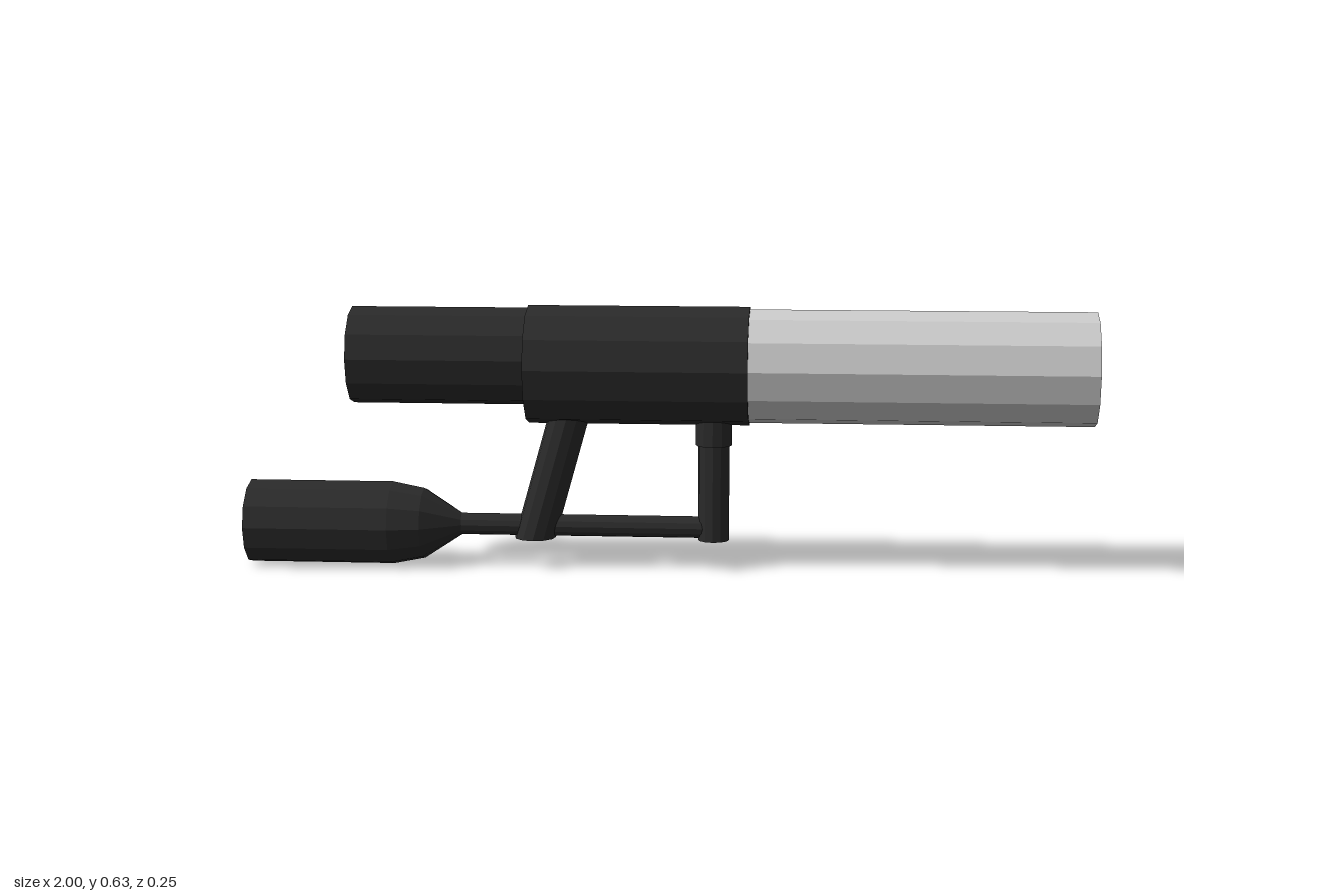
import * as THREE from 'three';

const SIDES = 12;
const dark = new THREE.MeshStandardMaterial({ color: 0x2a2a2a, flatShading: true });
const grey = new THREE.MeshStandardMaterial({ color: 0xcccccc, flatShading: true });

export function createModel() {
  const model = new THREE.Group();

  const add = (name, geometry, material = dark) => {
    const mesh = new THREE.Mesh(geometry, material);
    mesh.name = name;
    model.add(mesh);
    return mesh;
  };

  // Turned part along x: profile of [radius, x], with height and depth scaled to an oval
  const turned = (name, profile, y, scaleY = 1, scaleZ = 1, material = dark) => {
    const points = profile.map(([r, x]) => new THREE.Vector2(r, x));
    const geometry = new THREE.LatheGeometry(points, SIDES);
    geometry.rotateZ(-Math.PI / 2).scale(1, scaleY, scaleZ).translate(0, y, 0);
    return add(name, geometry, material);
  };

  // Upright cylinder whose ends stay level while its axis leans from x0 to x1
  const post = (name, radius, x0, y0, x1, y1, depth = radius) => {
    const geometry = new THREE.CylinderGeometry(radius, radius, y1 - y0, SIDES);
    geometry.scale(1, 1, depth / radius).translate(0, (y1 - y0) / 2, 0);
    const lean = (x1 - x0) / (y1 - y0);
    const shear = new THREE.Matrix4().set(1, lean, 0, x0, 0, 1, 0, y0, 0, 0, 1, 0, 0, 0, 0, 1);
    geometry.applyMatrix4(shear);
    geometry.computeVertexNormals();
    return add(name, geometry);
  };

  // Oval tube: open barrel with a recessed floor, sleeve around it and narrower rear section
  turned('barrel', [[0, 0.15], [1, 0.15], [1, 1], [0.85, 1], [0.85, 0.2], [0, 0.2]],
    0.486, 0.134, 0.12, grey);
  turned('sleeve', [[0, -0.325], [1, -0.325], [1, 0.197], [0, 0.197]], 0.486, 0.14, 0.126);
  turned('rearTube', [[0, -0.745], [1, -0.745], [1, -0.3], [0, -0.3]], 0.505, 0.115, 0.102);

  // Shoulder stock tapering into the connecting rod
  turned('stock', [[0, -1], [0.1, -1], [0.1, -0.655], [0.085, -0.58], [0.026, -0.49], [0, -0.49]], 0.1);
  turned('connectingRod', [[0, -0.5], [0.026, -0.5], [0.026, 0.11], [0, 0.11]], 0.1);

  // Leaning rear grip, straight front grip and its collar
  post('rearGrip', 0.049, -0.313, 0.07, -0.226, 0.38, 0.052);
  post('frontGrip', 0.037, 0.113, 0.07, 0.113, 0.38);
  post('frontGripCollar', 0.043, 0.113, 0.298, 0.113, 0.38);

  return model;
}
